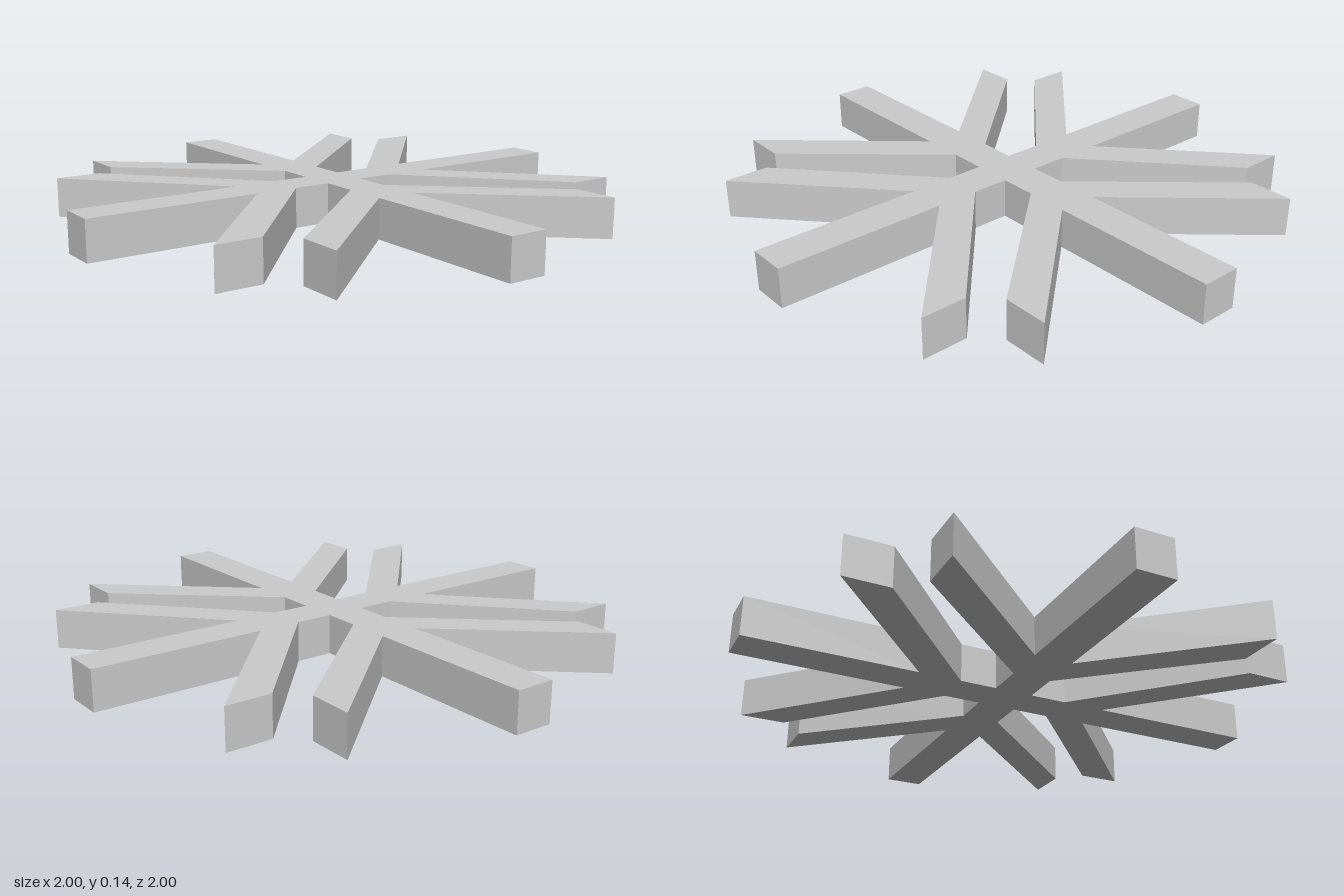
import * as THREE from 'three';

const HEIGHT = 0.145;
const W = 0.072; // half width of the main arms

// Outline of one quarter, from the tip of one main arm to the tip of the next
const half = [
  [1, W], [0.37, W],                // side of the main arm
  [0.83, 0.58], [0.665, 0.58],      // slanted branch, cut square to the axis
  [0.21, W],                        // inner foot of the branch
];
const quarter = [...half, [W, W], ...half.map(([x, y]) => [y, x]).reverse()];

export function createModel() {
  const group = new THREE.Group();
  group.name = 'snowflake';

  // Four quarters turned about the centre make the closed outline
  const outline = [];
  for (let i = 0; i < 4; i++) {
    const c = [1, 0, -1, 0][i], s = [0, 1, 0, -1][i];
    for (const [x, y] of quarter) {
      outline.push(new THREE.Vector2(x * c - y * s, x * s + y * c));
    }
  }

  // Flat plate lying on the ground
  const geometry = new THREE.ExtrudeGeometry(new THREE.Shape(outline), {
    depth: HEIGHT, bevelEnabled: false,
  });
  geometry.rotateX(-Math.PI / 2);

  const plate = new THREE.Mesh(
    geometry,
    new THREE.MeshStandardMaterial({ color: 0xcccccc, flatShading: true })
  );
  plate.name = 'branchedArms';
  group.add(plate);
  return group;
}
